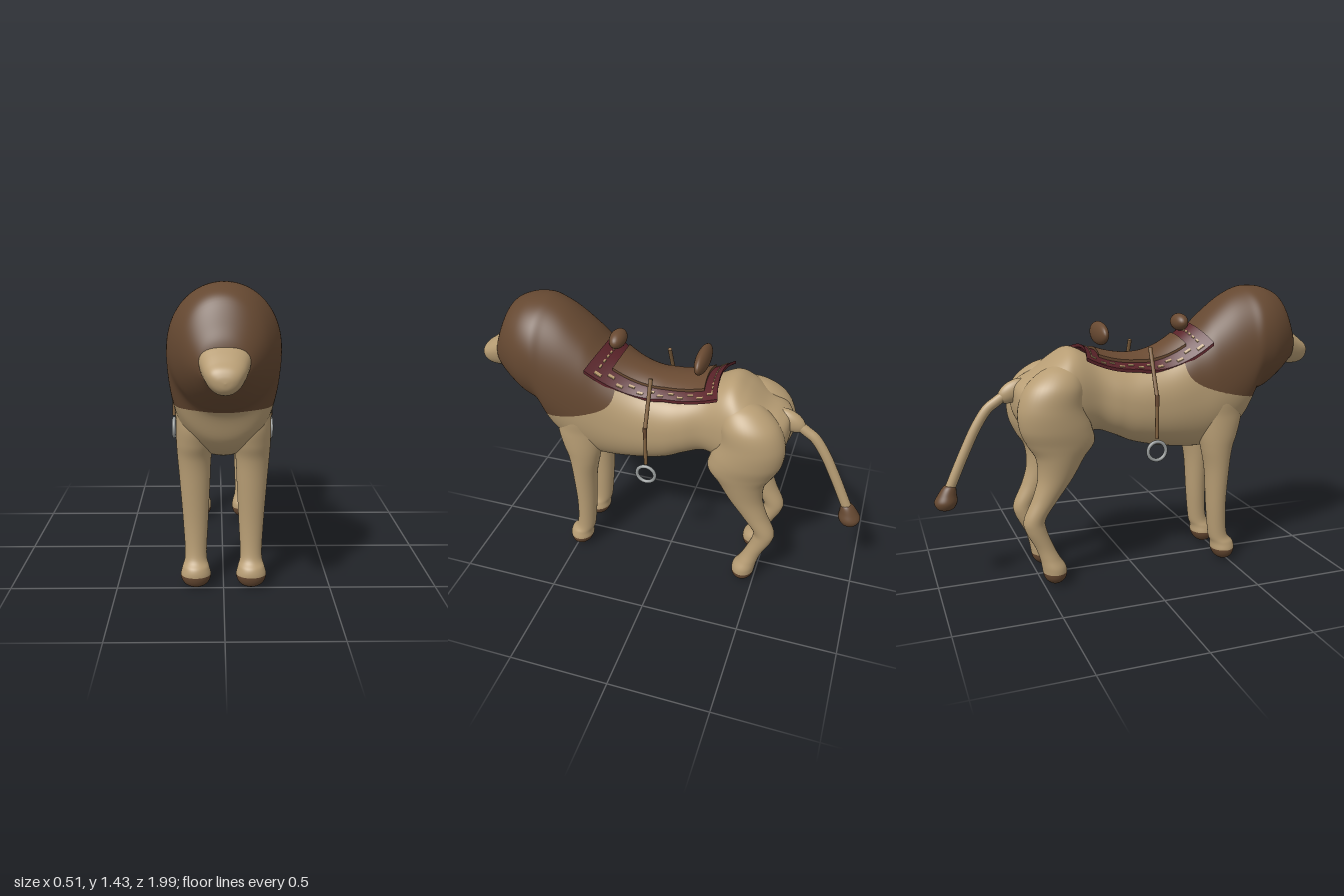
import * as THREE from 'three';

const material = (name, color) => {
  const m = new THREE.MeshStandardMaterial({ color });
  m.name = name;
  return m;
};

// Smooth value of column k in the rows at parameter t
function blend(rows, k, t) {
  const n = rows.length - 1, i = Math.min(Math.floor(t), n - 1), f = t - i;
  const p = (j) => rows[Math.max(0, Math.min(n, j))][k];
  const [a, b, c, d] = [p(i - 1), p(i), p(i + 1), p(i + 2)];
  return b + 0.5 * f * (c - a + f * (2 * a - 5 * b + 4 * c - d + f * (3 * (b - c) + d - a)));
}

// Skin over sections [x, y, z, rx, r2]; upright = sections lie flat and stack downwards.
// Faces where dark(x, y, z) > 0 get the second material, cut exactly along the border.
function loft(rows, { upright = false, sides = 40, steps = 8, power = () => 1, taper = 0, dark = () => -1 } = {}) {
  const rings = (rows.length - 1) * steps, pos = [], faces = [[], []], cuts = new Map();
  const bend = (v, e) => Math.sign(v) * Math.abs(v) ** e;
  for (let i = 0; i <= rings; i++) {
    const [x, y, z, r1, r2] = [0, 1, 2, 3, 4].map((k) => blend(rows, k, i / steps));
    for (let j = 0; j < sides; j++) {
      const a = (j / sides) * Math.PI * 2, e = power(z);
      const u = bend(Math.sin(a), e), s = u * Math.max(0, r2);
      const c = bend(Math.cos(a), e) * Math.max(0, r1) * (1 + taper * u);
      pos.push(x + c, upright ? y : y + s, upright ? z + s : z);
    }
  }
  const level = (i) => dark(...pos.slice(i * 3, i * 3 + 3));
  const cut = (a, b) => {
    const key = a < b ? `${a},${b}` : `${b},${a}`;
    if (!cuts.has(key)) {
      const t = level(a) / (level(a) - level(b));
      cuts.set(key, pos.length / 3);
      pos.push(...[0, 1, 2].map((k) => pos[a * 3 + k] + t * (pos[b * 3 + k] - pos[a * 3 + k])));
    }
    return cuts.get(key);
  };
  const addFace = (...f) => {
    const d = f.map((i) => level(i) > 0), count = d.filter(Boolean).length;
    if (count % 3 === 0) return faces[count / 3].push(...f);
    const lone = d.indexOf(count === 1), a = f[lone], b = f[(lone + 1) % 3], c = f[(lone + 2) % 3];
    const ab = cut(a, b), ac = cut(a, c), side = count === 1 ? 1 : 0;
    faces[side].push(a, ab, ac);
    faces[1 - side].push(ab, b, c, ab, c, ac);
  };
  for (let i = 0; i < rings; i++) {
    for (let j = 0; j < sides; j++) {
      const a = i * sides + j, b = i * sides + ((j + 1) % sides);
      addFace(a, b, a + sides);
      addFace(b, b + sides, a + sides);
    }
  }
  const g = new THREE.BufferGeometry();
  g.setAttribute('position', new THREE.Float32BufferAttribute(pos, 3));
  g.setIndex(faces.flat());
  g.addGroup(0, faces[0].length, 0);
  g.addGroup(faces[0].length, faces[1].length, 1);
  g.computeVertexNormals();
  return g;
}

// Point on the draped saddle surface: u across (-1..1), v from back (0) to front (1)
function drape(u, v, lift) {
  const z = THREE.MathUtils.lerp(-0.25 - 0.025 * u * u, 0.31 + 0.06 * u * u, v);
  const half = 0.145 + (z > 0 ? 0.4 : 0.45) * z * z;
  const drop = z > 0 ? 0.05 + 0.25 * z : 0.05;
  return [u * half, 1.1 + (z > 0 ? 1.55 : 1) * z * z - drop * u * u + lift, z];
}

// Box wrapped onto the draped surface
function slab(u0, u1, v0, v1, low, high, nu = 1, nv = 1) {
  const g = new THREE.BoxGeometry(1, 1, 1, nu, 1, nv), p = g.attributes.position;
  const L = THREE.MathUtils.lerp;
  for (let i = 0; i < p.count; i++) {
    p.setXYZ(i, ...drape(L(u0, u1, p.getX(i) + 0.5), L(v0, v1, p.getZ(i) + 0.5), L(low, high, p.getY(i) + 0.5)));
  }
  g.computeVertexNormals();
  return g;
}

export function createModel() {
  const root = new THREE.Group();
  const fur = material('tan fur', 0xb79d74);
  const mane = material('brown mane', 0x654831);
  const leather = material('saddle leather', 0x694a32);
  const cloth = material('red cloth', 0x5a2329);
  const thread = material('tan thread', 0xb89a6c);
  const strapTan = material('strap leather', 0x80613f);
  const steel = material('steel', 0x989c9c);

  const add = (name, geometry, mat, parent = root) => {
    const m = new THREE.Mesh(geometry, mat);
    m.name = name;
    parent.add(m);
    return m;
  };
  const ball = (name, mat, x, y, z, rx, ry, rz) => {
    const m = add(name, new THREE.SphereGeometry(1, 32, 20), mat);
    m.position.set(x, y, z);
    m.scale.set(rx, ry, rz);
    return m;
  };
  const profile = (rows) => rows.map(([z, top, low, w]) => [0, (top + low) / 2, z, w, (top - low) / 2]);

  // Trunk, neck and head: [z, top, bottom, half width]
  add('bodyAndMane', loft(profile([
    [-0.6, 0.93, 0.93, 0], [-0.592, 0.99, 0.85, 0.09], [-0.55, 1.025, 0.78, 0.17], [-0.48, 1.06, 0.72, 0.215],
    [-0.39, 1.13, 0.69, 0.225], [-0.31, 1.165, 0.71, 0.2], [-0.2, 1.115, 0.745, 0.17], [-0.1, 1.08, 0.715, 0.185],
    [0, 1.07, 0.67, 0.20], [0.15, 1.11, 0.635, 0.21], [0.3, 1.21, 0.615, 0.217], [0.4, 1.305, 0.62, 0.228],
    [0.5, 1.385, 0.66, 0.238], [0.58, 1.425, 0.735, 0.243], [0.64, 1.435, 0.865, 0.243], [0.72, 1.425, 0.91, 0.225],
    [0.8, 1.38, 0.965, 0.18], [0.86, 1.265, 1.02, 0.125], [0.885, 1.2, 1.04, 0.08], [0.895, 1.12, 1.12, 0],
  ]), {
    sides: 100, steps: 8,
    power: (z) => THREE.MathUtils.lerp(0.87, 0.97, THREE.MathUtils.smoothstep(z, 0.25, 0.6)),
    dark: (x, y, z) => z - 0.23 - 100 * Math.max(0, 1.11 - y) ** 3.7,
  }), [fur, mane]);

  // Muzzle, narrower below
  add('muzzle', loft(profile([
    [0.82, 1.22, 1.03, 0.1], [0.87, 1.205, 1.022, 0.1], [0.91, 1.18, 1.016, 0.09], [0.95, 1.15, 1.018, 0.076],
    [0.98, 1.127, 1.03, 0.058], [0.995, 1.1, 1.048, 0.032], [1.0, 1.073, 1.073, 0],
  ]), { power: () => 0.88, taper: 0.22 }), [fur, mane]);

  // Legs: [y, x, z, half width, half depth]
  const frontLeg = [
    [1.0, 0.12, 0.42, 0, 0], [0.92, 0.125, 0.43, 0.09, 0.1], [0.8, 0.125, 0.44, 0.092, 0.12],
    [0.7, 0.13, 0.435, 0.087, 0.105], [0.62, 0.134, 0.43, 0.078, 0.083], [0.5, 0.132, 0.435, 0.07, 0.064],
    [0.3, 0.13, 0.437, 0.058, 0.052], [0.15, 0.13, 0.45, 0.051, 0.05], [0.1, 0.13, 0.475, 0.063, 0.06],
    [0.06, 0.13, 0.48, 0.071, 0.062], [0.025, 0.13, 0.483, 0.056, 0.047], [0.005, 0.13, 0.483, 0.025, 0.02], [0, 0.13, 0.483, 0, 0],
  ];
  const hindLeg = [
    [1.1, 0.11, -0.38, 0, 0], [1.07, 0.115, -0.39, 0.07, 0.085], [1.0, 0.13, -0.42, 0.112, 0.14],
    [0.9, 0.135, -0.44, 0.12, 0.16], [0.8, 0.135, -0.42, 0.116, 0.175], [0.72, 0.13, -0.395, 0.105, 0.165],
    [0.65, 0.13, -0.4, 0.09, 0.12], [0.55, 0.126, -0.425, 0.074, 0.088], [0.45, 0.125, -0.475, 0.06, 0.066],
    [0.35, 0.125, -0.532, 0.052, 0.054], [0.29, 0.125, -0.529, 0.05, 0.052], [0.2, 0.126, -0.49, 0.048, 0.046],
    [0.14, 0.13, -0.465, 0.054, 0.05], [0.09, 0.13, -0.445, 0.068, 0.06], [0.04, 0.13, -0.44, 0.063, 0.055],
    [0.01, 0.13, -0.44, 0.033, 0.03], [0, 0.13, -0.44, 0, 0],
  ];
  for (const s of [1, -1]) {
    const side = s > 0 ? 'left' : 'right';
    for (const [part, rows] of [['FrontLeg', frontLeg], ['HindLeg', hindLeg]]) {
      add(side + part, loft(rows.map(([y, x, z, rx, rz]) => [s * x, y, z, rx, rz]), {
        upright: true, dark: (x, y) => 0.0651 - y,
      }), [fur, mane]);
    }
  }
  ball('underside', mane, 0, 0.675, -0.425, 0.06, 0.042, 0.07);

  // Tail with its tuft
  const tailPath = new THREE.CatmullRomCurve3([
    [0.98, -0.5], [0.975, -0.57], [0.945, -0.635], [0.915, -0.68], [0.888, -0.717], [0.81, -0.772], [0.68, -0.838], [0.5, -0.92],
  ].map(([y, z]) => new THREE.Vector3(0, y, z)));
  add('tail', new THREE.TubeGeometry(tailPath, 48, 0.025, 16), fur);
  ball('tailRoot', fur, 0, 0.965, -0.59, 0.038, 0.05, 0.085).rotation.x = -0.5;
  add('tailTuft', loft([
    [0.53, -0.915, 0], [0.52, -0.917, 0.028], [0.48, -0.93, 0.045], [0.445, -0.938, 0.055],
    [0.415, -0.94, 0.042], [0.403, -0.94, 0.02], [0.4, -0.94, 0],
  ].map(([y, z, r]) => [0, y, z, r, r]), { upright: true }), [mane, mane]);

  // Saddle cloth, seat, horn and backrest
  add('saddleCloth', slab(-1, 1, 0, 1, -0.008, 0.008, 28, 32), cloth);
  add('seat', slab(-0.7, 0.7, 0.11, 0.86, 0, 0.022, 24, 28), leather);
  ball('saddleHorn', leather, 0, 1.26, 0.268, 0.07, 0.043, 0.04);
  ball('backrest', leather, 0, 1.222, -0.157, 0.118, 0.057, 0.033);

  // Stitching along the edges of the cloth
  const stitches = new THREE.Group();
  stitches.name = 'stitching';
  root.add(stitches);
  for (let i = 0; i < 12; i++) {
    const v = 0.04 + i * 0.078, u = -0.8 + i * 0.14;
    for (const s of [-1, 1]) {
      const c = s * (i % 2 ? 0.92 : 0.83);
      add('sideStitch', slab(c - 0.025, c + 0.025, v, v + 0.045, 0.007, 0.012), thread, stitches);
    }
    for (const v0 of [0.04, 0.93]) {
      add('endStitch', slab(u, u + 0.07, v0, v0 + 0.011, 0.007, 0.012), thread, stitches);
    }
  }

  // Stirrups on straps
  const rod = (name, a, b, r, mat) => {
    const from = new THREE.Vector3(...a), to = new THREE.Vector3(...b), d = to.clone().sub(from);
    const m = add(name, new THREE.CylinderGeometry(r, r, d.length(), 14), mat);
    m.position.copy(from).add(to).multiplyScalar(0.5);
    m.quaternion.setFromUnitVectors(new THREE.Vector3(0, 1, 0), d.normalize());
  };
  for (const s of [1, -1]) {
    const z = 0.055;
    rod('upperStrap', [s * 0.145, 1.16, z], [s * 0.243, 0.93, z], 0.01, strapTan);
    rod('lowerStrap', [s * 0.243, 0.935, z], [s * 0.243, 0.73, z], 0.009, strapTan);
    rod('strapKeeper', [s * 0.243, 0.945, z], [s * 0.243, 0.89, z], 0.0105, leather);
    const ring = add('stirrup', new THREE.TorusGeometry(0.046, 0.009, 14, 36), steel);
    ring.rotation.y = Math.PI / 2;
    ring.position.set(s * 0.245, 0.667, z);
  }
  return root;
}
